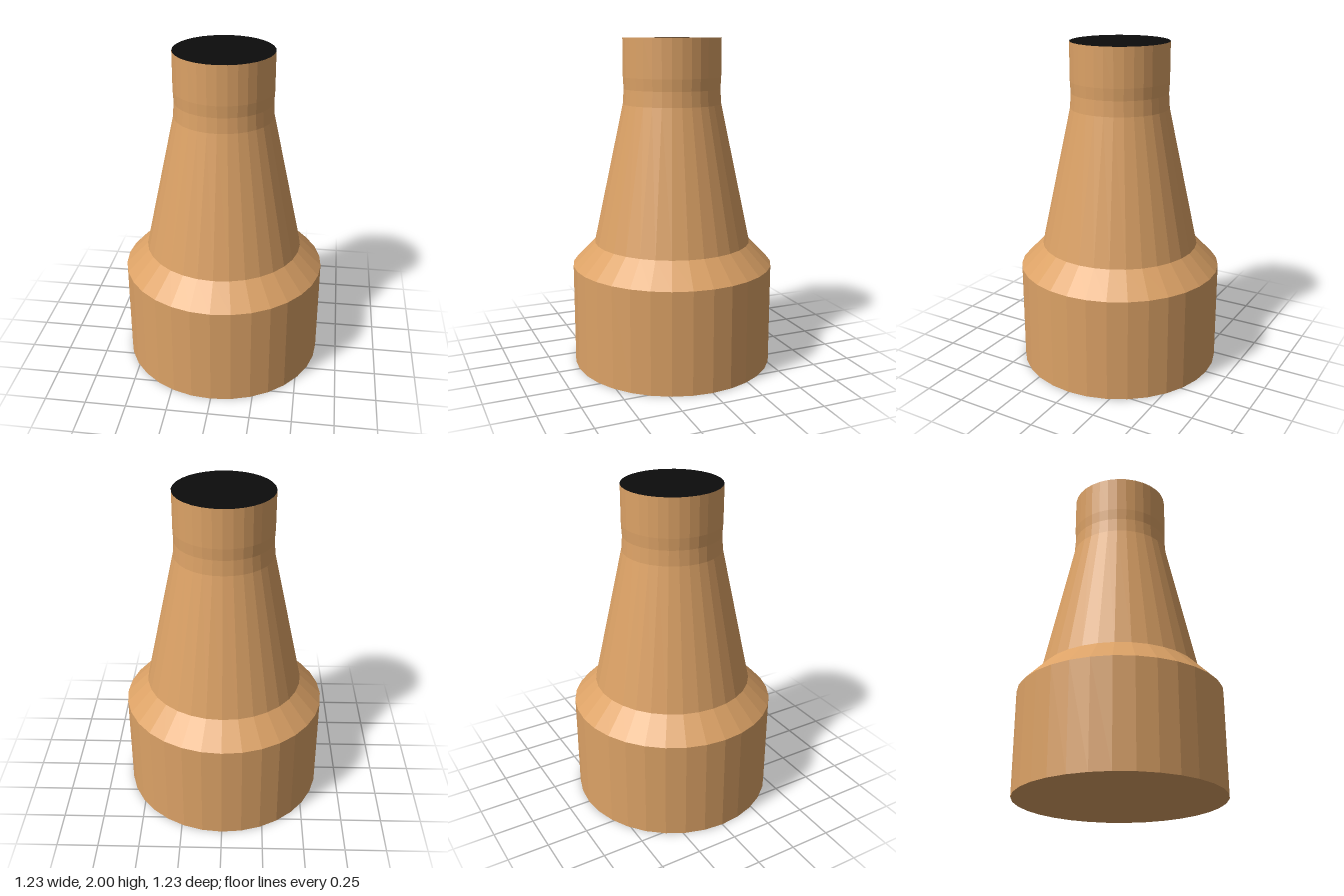
import * as THREE from 'three';

const SEGMENTS = 32;

export function createModel() {
  const model = new THREE.Group();
  model.name = 'steppedNozzle';
  const tan = new THREE.MeshStandardMaterial({ color: 0xdca266, flatShading: true });
  const black = new THREE.MeshStandardMaterial({ color: 0x0c0c0c });

  // Turned section from [radius, height] pairs, bottom to top
  const addTurned = (name, profile) => {
    const points = profile.map(([r, y]) => new THREE.Vector2(r, y));
    const mesh = new THREE.Mesh(new THREE.LatheGeometry(points, SEGMENTS), tan);
    mesh.name = name;
    model.add(mesh);
  };

  // Closed underside and straight wall
  addTurned('base', [[0, 0], [0.617, 0], [0.617, 0.625]]);
  // Bevel from the base up to the cone
  addTurned('shoulder', [[0.617, 0.625], [0.48, 0.765]]);
  addTurned('taperedBody', [[0.48, 0.765], [0.297, 1.61]]);
  // Neck with a very slight waist
  addTurned('neck', [[0.297, 1.61], [0.291, 1.7], [0.295, 1.77], [0.295, 2]]);

  // Flat dark end face
  const cap = new THREE.Mesh(new THREE.CircleGeometry(0.295, SEGMENTS), black);
  cap.name = 'topFace';
  cap.rotation.x = -Math.PI / 2;
  cap.position.y = 2;
  model.add(cap);

  return model;
}
